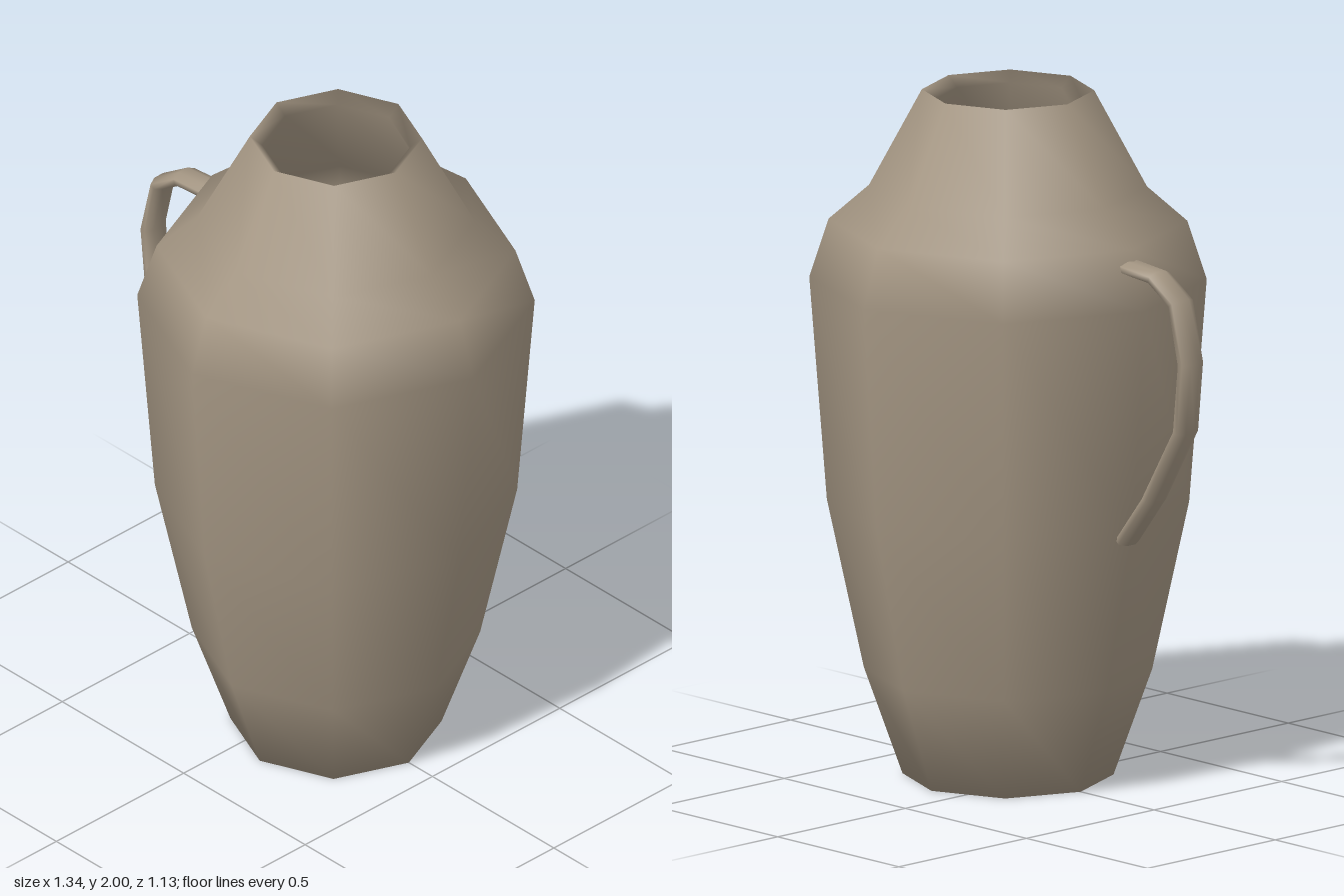
import * as THREE from 'three';

// Sweeps an oval section along a path in the xy plane, with mitred joints
function sweep(path, halfWidth, halfThick, sides) {
  const pts = path.map(([x, y]) => new THREE.Vector2(x, y));
  const pos = [], index = [];
  pts.forEach((p, i) => {
    const a = p.clone().sub(pts[Math.max(i - 1, 0)]).normalize();
    const b = pts[Math.min(i + 1, pts.length - 1)].clone().sub(p).normalize();
    const t = a.add(b).normalize();
    for (let j = 0; j < sides; j++) {
      const ang = ((j + 0.5) / sides) * Math.PI * 2;
      const n = Math.cos(ang) * halfThick;
      pos.push(p.x - t.y * n, p.y + t.x * n, Math.sin(ang) * halfWidth);
    }
  });
  for (let i = 0; i < pts.length - 1; i++) {
    for (let j = 0; j < sides; j++) {
      const k = (j + 1) % sides;
      const a = i * sides + j, b = i * sides + k;
      const c = a + sides, d = b + sides;
      index.push(a, b, c, b, d, c);
    }
  }
  // Close both ends
  const last = (pts.length - 1) * sides;
  for (let j = 1; j < sides - 1; j++) {
    index.push(0, j + 1, j, last, last + j, last + j + 1);
  }
  const g = new THREE.BufferGeometry();
  g.setAttribute('position', new THREE.Float32BufferAttribute(pos, 3));
  g.setIndex(index);
  g.computeVertexNormals();
  return g;
}

export function createModel() {
  const group = new THREE.Group();
  const clay = new THREE.MeshStandardMaterial({ color: 0xa39582, side: THREE.DoubleSide });
  clay.name = 'clay';

  // Eight-sided hollow body: base, belly, shoulder, neck, rim, then the inner wall
  const profile = [
    [0, 0], [0.3, 0], [0.41, 0.31], [0.515, 0.8], [0.565, 1.45], [0.51, 1.62],
    [0.395, 1.72], [0.245, 2], [0.21, 1.97], [0.35, 1.69], [0.46, 1.59],
    [0.52, 1.44], [0.47, 0.8], [0.37, 0.33], [0.27, 0.06], [0, 0.06],
  ].map(([r, y]) => new THREE.Vector2(r, y));
  const body = new THREE.Mesh(new THREE.LatheGeometry(profile, 8), clay);
  body.name = 'jugBody';
  body.position.x = 0.103;
  group.add(body);

  // Bent handle on one side
  const handle = new THREE.Mesh(sweep([
    [-0.4, 1.57], [-0.52, 1.56], [-0.61, 1.5], [-0.65, 1.33],
    [-0.63, 1.13], [-0.5, 0.91], [-0.39, 0.77],
  ], 0.045, 0.022, 8), clay);
  handle.name = 'handle';
  group.add(handle);

  return group;
}
